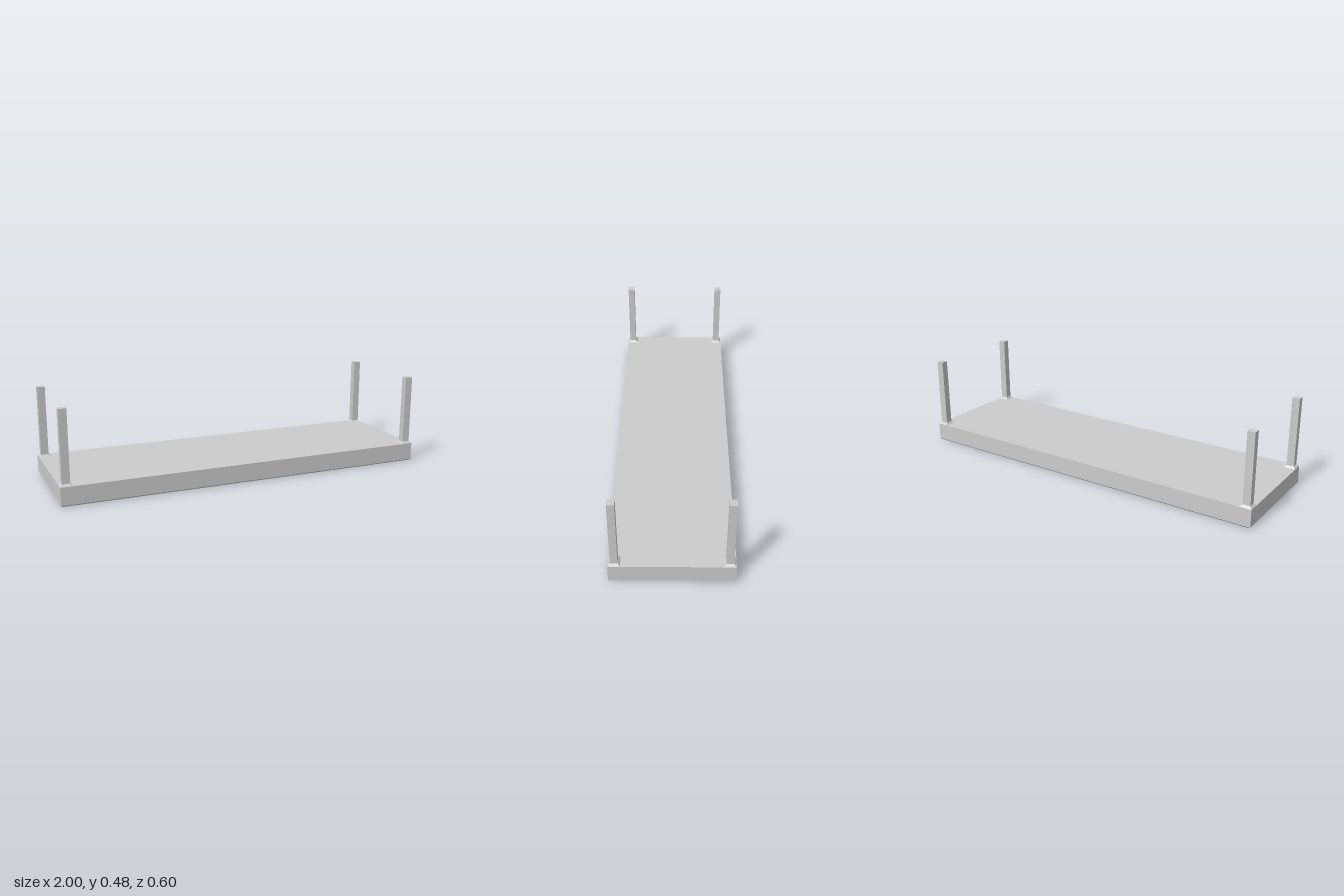
import * as THREE from 'three';

const material = new THREE.MeshStandardMaterial({ color: 0xcccccc, flatShading: true });
const smoothMaterial = new THREE.MeshStandardMaterial({ color: 0xcccccc });

// Closed loft through rectangular rings [halfX, halfZ, y], listed from the top down
function rectLoft(rings) {
  const corners = [[1, 1], [1, -1], [-1, -1], [-1, 1]];
  const pos = [];
  const quad = (a, b, c, d) => pos.push(...a, ...b, ...c, ...a, ...c, ...d);
  const loops = rings.map(([hx, hz, y]) => corners.map(([sx, sz]) => [sx * hx, y, sz * hz]));
  quad(...loops[0]);
  for (let r = 0; r < loops.length - 1; r++) {
    const a = loops[r], b = loops[r + 1];
    for (let i = 0; i < 4; i++) {
      const j = (i + 1) % 4;
      quad(a[i], b[i], b[j], a[j]);
    }
  }
  quad(...loops[loops.length - 1].slice().reverse());
  const geo = new THREE.BufferGeometry();
  geo.setAttribute('position', new THREE.Float32BufferAttribute(pos, 3));
  geo.computeVertexNormals();
  return geo;
}

function addMesh(parent, name, geometry, mat = material) {
  const mesh = new THREE.Mesh(geometry, mat);
  mesh.name = name;
  parent.add(mesh);
  return mesh;
}

export function createModel() {
  const model = new THREE.Group();
  model.name = 'lightFixture';

  // Housing: a shallow tray open below, with a bevelled rim
  const profile = [[0, 0.1], [0, 0.007], [0.007, 0], [0.06, 0], [0.06, 0.09]];
  addMesh(model, 'housing', rectLoft(profile.map(([inset, y]) => [1 - inset, 0.3 - inset, y])));

  // Reflector: lengthwise channels separated by flat ridges
  const channels = 4, halfWidth = 0.24, ridgeY = 0.012, channelY = 0.07;
  const pitch = 2 * halfWidth / channels;
  const shape = new THREE.Shape();
  shape.moveTo(-halfWidth, 0.09);
  for (let i = 0; i < channels; i++) {
    const z = -halfWidth + i * pitch;
    shape.lineTo(z, ridgeY);
    shape.lineTo(z + 0.01, ridgeY);
    shape.lineTo(z + 0.04, channelY);
    shape.lineTo(z + pitch - 0.04, channelY);
    shape.lineTo(z + pitch - 0.01, ridgeY);
  }
  shape.lineTo(halfWidth, ridgeY);
  shape.lineTo(halfWidth, 0.09);
  const reflector = new THREE.ExtrudeGeometry(shape, { depth: 1.88, bevelEnabled: false });
  reflector.translate(0, 0, -0.94).rotateY(Math.PI / 2);
  addMesh(model, 'reflector', reflector);

  // One lamp tube along each channel
  const tube = new THREE.CylinderGeometry(0.017, 0.017, 1.88, 16).rotateZ(Math.PI / 2);
  for (let i = 0; i < channels; i++) {
    const lamp = addMesh(model, 'lampTube' + (i + 1), tube, smoothMaterial);
    lamp.position.set(0, 0.038, -halfWidth + (i + 0.5) * pitch);
  }

  // Corner posts with flared feet
  const post = rectLoft([[0.02, 0.018, 0.48], [0.02, 0.018, 0.111], [0.032, 0.03, 0.099]]);
  for (const sx of [-1, 1]) {
    for (const sz of [-1, 1]) {
      const name = (sz > 0 ? 'front' : 'back') + (sx > 0 ? 'Left' : 'Right') + 'Post';
      addMesh(model, name, post).position.set(sx * 0.968, 0, sz * 0.27);
    }
  }
  return model;
}
